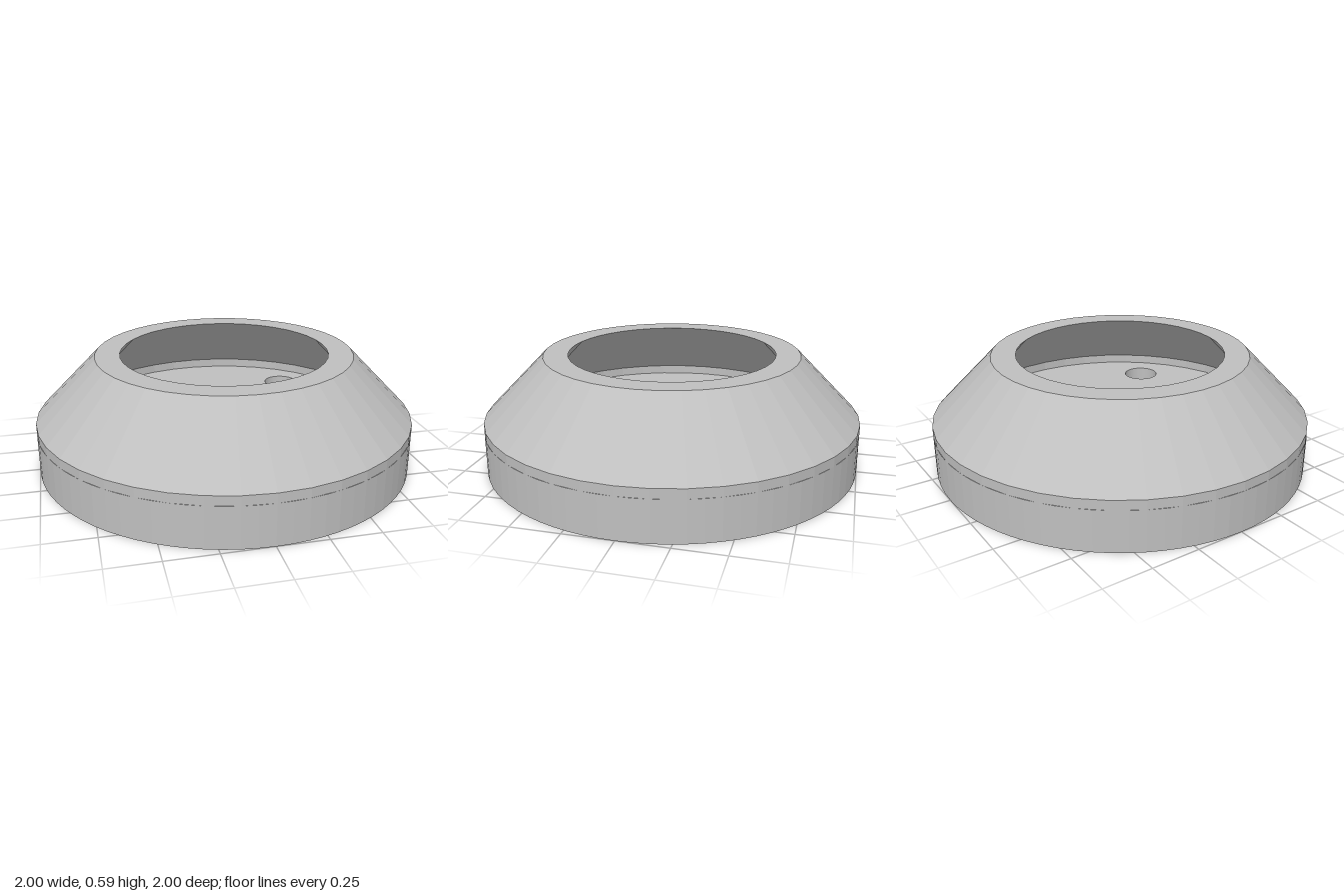
import * as THREE from 'three';

const SIDES = 40;
const FLOOR = 0.213; // thickness of the base plate

// Faceted normals, so every side reads as a flat face
function faceted(geometry) {
  const flat = geometry.index ? geometry.toNonIndexed() : geometry;
  flat.computeVertexNormals();
  return flat;
}

function part(name, geometry, material) {
  const mesh = new THREE.Mesh(faceted(geometry), material);
  mesh.name = name;
  return mesh;
}

function circle(PathType, x, y, radius) {
  return new PathType().absarc(x, y, radius, 0, Math.PI * 2, false);
}

export function createModel() {
  const group = new THREE.Group();
  group.name = 'taperedHousing';
  const grey = new THREE.MeshStandardMaterial({ color: 0xbfbfbf });
  grey.name = 'light grey';

  // Base plate with a centre bore and four diagonal bolt holes
  const plate = circle(THREE.Shape, 0, 0, 1);
  plate.holes.push(circle(THREE.Path, 0, 0, 0.2));
  for (let i = 0; i < 4; i++) {
    const a = Math.PI / 4 + (i * Math.PI) / 2;
    plate.holes.push(circle(THREE.Path, 0.667 * Math.cos(a), 0.667 * Math.sin(a), 0.097));
  }
  const base = new THREE.ExtrudeGeometry(plate, {
    depth: FLOOR, bevelEnabled: false, curveSegments: SIDES,
  });
  base.rotateX(-Math.PI / 2);
  group.add(part('basePlate', base, grey));

  // Hollow shell: short upright wall, then a taper in to the open rim
  const profile = [
    [1, FLOOR], [1, 0.262], [0.68, 0.588],
    [0.55, 0.588], [0.868, 0.262], [0.868, FLOOR],
  ].map(([r, y]) => new THREE.Vector2(r, y));
  group.add(part('taperedShell', new THREE.LatheGeometry(profile, SIDES), grey));

  return group;
}
